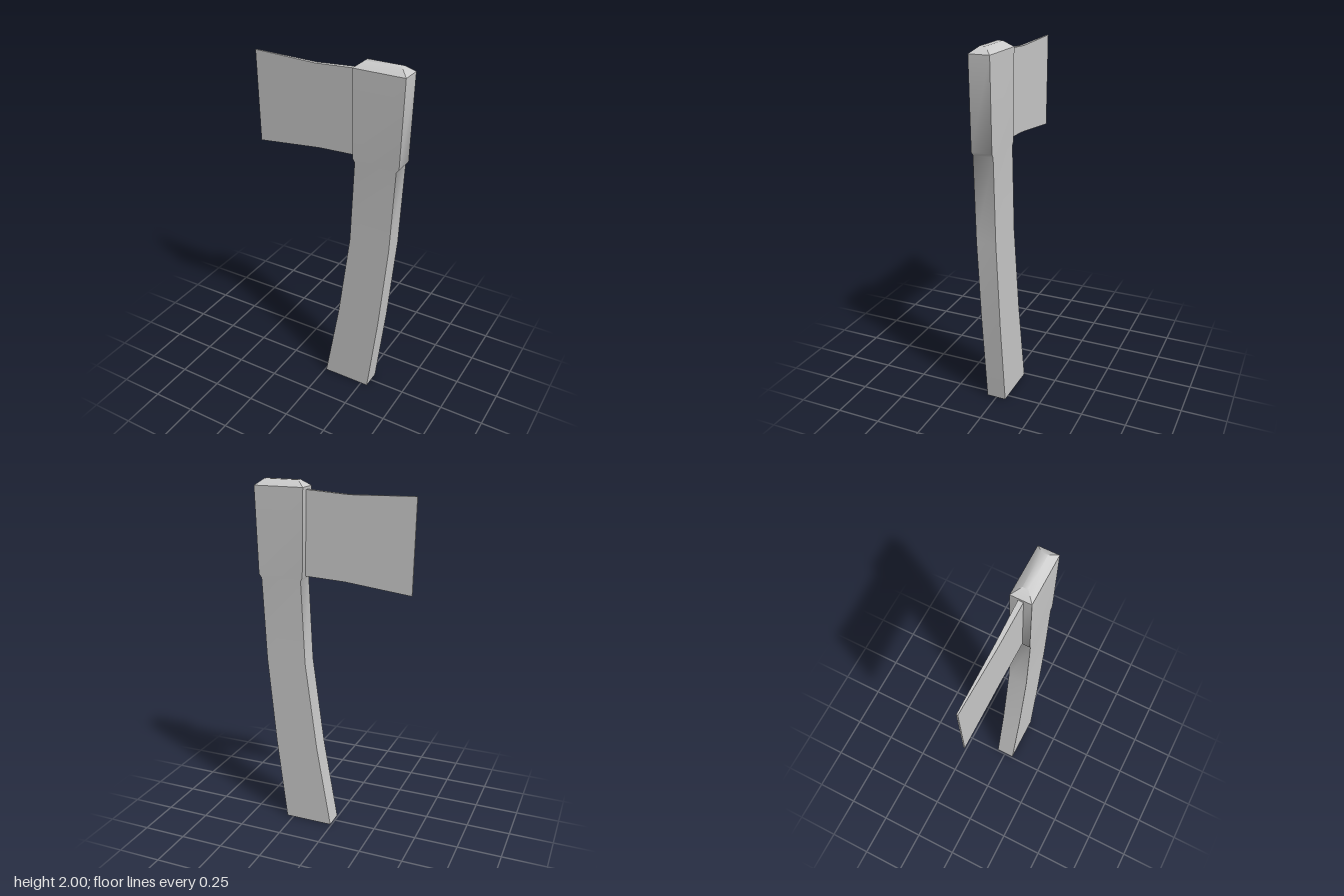
import * as THREE from 'three';
import { toCreasedNormals } from 'three/addons/utils/BufferGeometryUtils.js';

// Skin a list of four-cornered rings and cap both ends.
function loft(name, rings, crease) {
  const pos = rings.flat(2);
  const index = [];
  const last = (rings.length - 1) * 4;
  for (let r = 0; r < last; r += 4) {
    for (let i = 0; i < 4; i++) {
      const j = (i + 1) % 4;
      index.push(r + i, r + j, r + 4 + j, r + i, r + 4 + j, r + 4 + i);
    }
  }
  index.push(0, 2, 1, 0, 3, 2);
  index.push(last, last + 1, last + 2, last, last + 2, last + 3);

  const geometry = new THREE.BufferGeometry();
  geometry.setAttribute('position', new THREE.Float32BufferAttribute(pos, 3));
  geometry.setIndex(index);
  const mesh = new THREE.Mesh(
    toCreasedNormals(geometry, crease),
    new THREE.MeshStandardMaterial({ color: 0xcccccc })
  );
  mesh.name = name;
  return mesh;
}

export function createModel() {
  const group = new THREE.Group();
  group.name = 'axe';

  // Curved handle swelling into the bevelled eye: [y, xMin, xMax, half depth]
  const handle = [
    [0, 0.008, 0.29, 0.055],
    [0.49, 0.092, 0.347, 0.055],
    [1.0, 0.158, 0.393, 0.055],
    [1.47, 0.178, 0.413, 0.055],
    [1.49, 0.167, 0.428, 0.056],
    [1.967, 0.156, 0.44, 0.056],
    [2.0, 0.2, 0.398, 0.015],
  ].map(([y, a, b, d]) => [[a, y, d], [b, y, d], [b, y, -d], [a, y, -d]]);
  group.add(loft('handleAndEye', handle, 0.7));

  // Blade tapering towards the cutting edge: [bottom x, bottom y, top x, top y, half depth]
  const blade = [
    [-0.433, 1.435, -0.443, 1.945, 0.004],
    [-0.06, 1.479, -0.08, 1.937, 0.01],
    [0.19, 1.492, 0.18, 1.954, 0.014],
  ].map(([bx, by, tx, ty, d]) => [[bx, by, d], [bx, by, -d], [tx, ty, -d], [tx, ty, d]]);
  group.add(loft('blade', blade, 0.7));

  return group;
}
